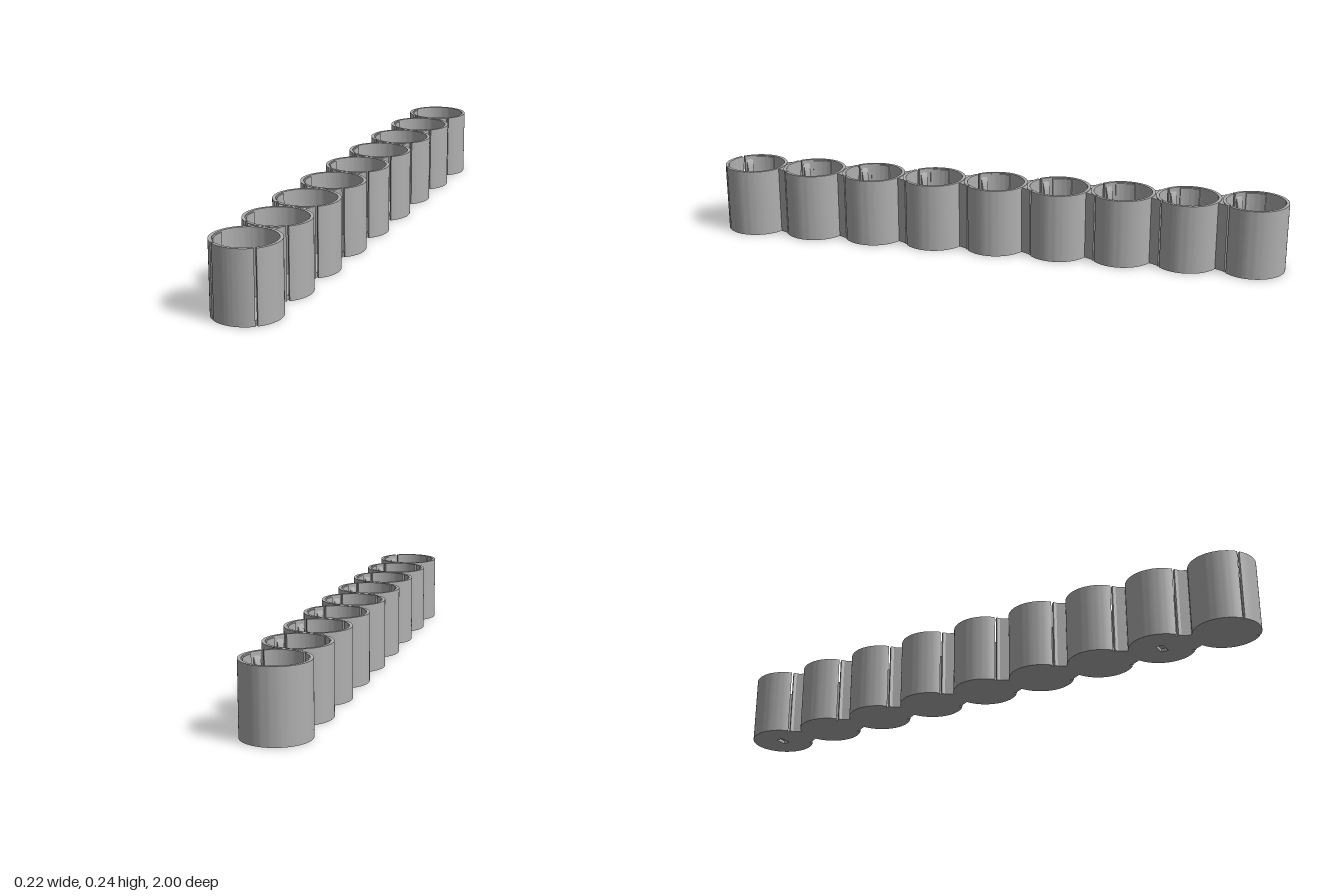
import * as THREE from 'three';
import { toCreasedNormals } from 'three/addons/utils/BufferGeometryUtils.js';

const COUNT = 9, PITCH = 0.2225, R = 0.11, INNER = 0.099, H = 0.236, FLOOR = 0.016;
const SLOT = 39.5, HALF = 2.1; // slot angle from the front and its half width, degrees

// Plan outline (x, z) raised from y0 to y1
function raise(shape, y0, y1) {
  const g = new THREE.ExtrudeGeometry(shape, { depth: y1 - y0, bevelEnabled: false, curveSegments: 64 });
  g.rotateX(-Math.PI / 2);
  g.translate(0, y0, 0);
  return g;
}

const at = (r, deg) => {
  const a = THREE.MathUtils.degToRad(deg);
  return new THREE.Vector2(r * Math.sin(a), -r * Math.cos(a));
};

// Ring sector between two angles, measured from +z towards +x
function sector(r0, r1, a0, a1) {
  const n = Math.max(3, Math.ceil((a1 - a0) / 4)), pts = [];
  for (let i = 0; i <= n; i++) pts.push(at(r1, a0 + (a1 - a0) * i / n));
  for (let i = n; i >= 0; i--) pts.push(at(r0, a0 + (a1 - a0) * i / n));
  return new THREE.Shape(pts);
}

function disc(r, hole) {
  const s = new THREE.Shape();
  s.absarc(0, 0, r, 0, Math.PI * 2);
  if (hole) s.holes.push(hole);
  return s;
}

const smooth = g => toCreasedNormals(g, 0.5);

export function createModel() {
  const model = new THREE.Group();
  model.name = 'cupRow';
  const grey = new THREE.MeshStandardMaterial({ color: 0xb0b0b0 });
  grey.name = 'grey';

  // Shared geometry for every cup
  const shell = smooth(raise(sector(INNER, R, SLOT + HALF, 360 - SLOT - HALF), 0, H));
  const panel = smooth(raise(sector(INNER, R, -SLOT + HALF, SLOT - HALF), 0, H));
  const base = smooth(raise(disc(INNER + 0.001), 0, FLOOR));

  // Floor with a small pocket underneath
  const hole = new THREE.Path([[-0.022, -0.012], [-0.022, 0.012], [0.022, 0.012], [0.022, -0.012]]
    .map(p => new THREE.Vector2(...p)));
  const pocketLower = smooth(raise(disc(INNER + 0.001, hole), 0, 0.011));
  const pocketUpper = smooth(raise(disc(INNER + 0.001), 0.011, FLOOR));

  // Catch beside each slot, sloped at its top inner edge
  const catchGeometry = side => {
    const [a, b] = side > 0 ? [45, 58] : [-58, -45];
    const g = raise(sector(0.089, INNER + 0.001, a, b), FLOOR, H - 0.012);
    const p = g.attributes.position;
    for (let i = 0; i < p.count; i++) {
      if (p.getY(i) > 0.1 && Math.hypot(p.getX(i), p.getZ(i)) < 0.094) p.setY(i, H - 0.045);
    }
    return smooth(g);
  };
  const linerGeometry = side => {
    const [a, b] = side > 0 ? [66, 106] : [-106, -66];
    return smooth(raise(sector(0.0945, INNER + 0.001, a, b), FLOOR, H - 0.004));
  };
  const sides = [1, -1].map(s => ({ hook: catchGeometry(s), liner: linerGeometry(s) }));

  // Tapered bridge from one cup's front panel to the next cup's back
  const webShape = new THREE.Shape([[-0.062, -0.087], [0.062, -0.087], [0.042, -0.123], [0, -0.117], [-0.042, -0.123]]
    .map(p => new THREE.Vector2(...p)));
  webShape.holes.length = 0;
  // Follow the panel curve so the bridge stays outside the cup
  const webPoints = [];
  for (let i = -8; i <= 8; i++) webPoints.push(at(R - 0.003, i * 4.3));
  for (let i = 4; i >= -4; i--) {
    const q = at(R - 0.003, i * 5.6);
    webPoints.push(new THREE.Vector2(q.x, -PITCH - q.y));
  }
  const web = smooth(raise(new THREE.Shape(webPoints), 0, H - 0.002));

  for (let i = 0; i < COUNT; i++) {
    const cup = new THREE.Group();
    cup.name = 'cup' + (i + 1);
    cup.position.z = (i - (COUNT - 1) / 2) * PITCH;
    const add = (geometry, name) => {
      const mesh = new THREE.Mesh(geometry, grey);
      mesh.name = name;
      cup.add(mesh);
      return mesh;
    };
    add(shell, 'cupWall');
    add(panel, 'frontPanel');
    if (i === 0 || i === COUNT - 2) {
      add(pocketLower, 'pocketFloor').position.z = 0;
      add(pocketUpper, 'cupFloor');
    } else add(base, 'cupFloor');
    sides.forEach((s, k) => {
      const label = k ? 'right' : 'left';
      add(s.hook, label + 'Catch');
      add(s.liner, label + 'Liner');
    });
    if (i < COUNT - 1) add(web, 'bridge');
    model.add(cup);
  }
  return model;
}
